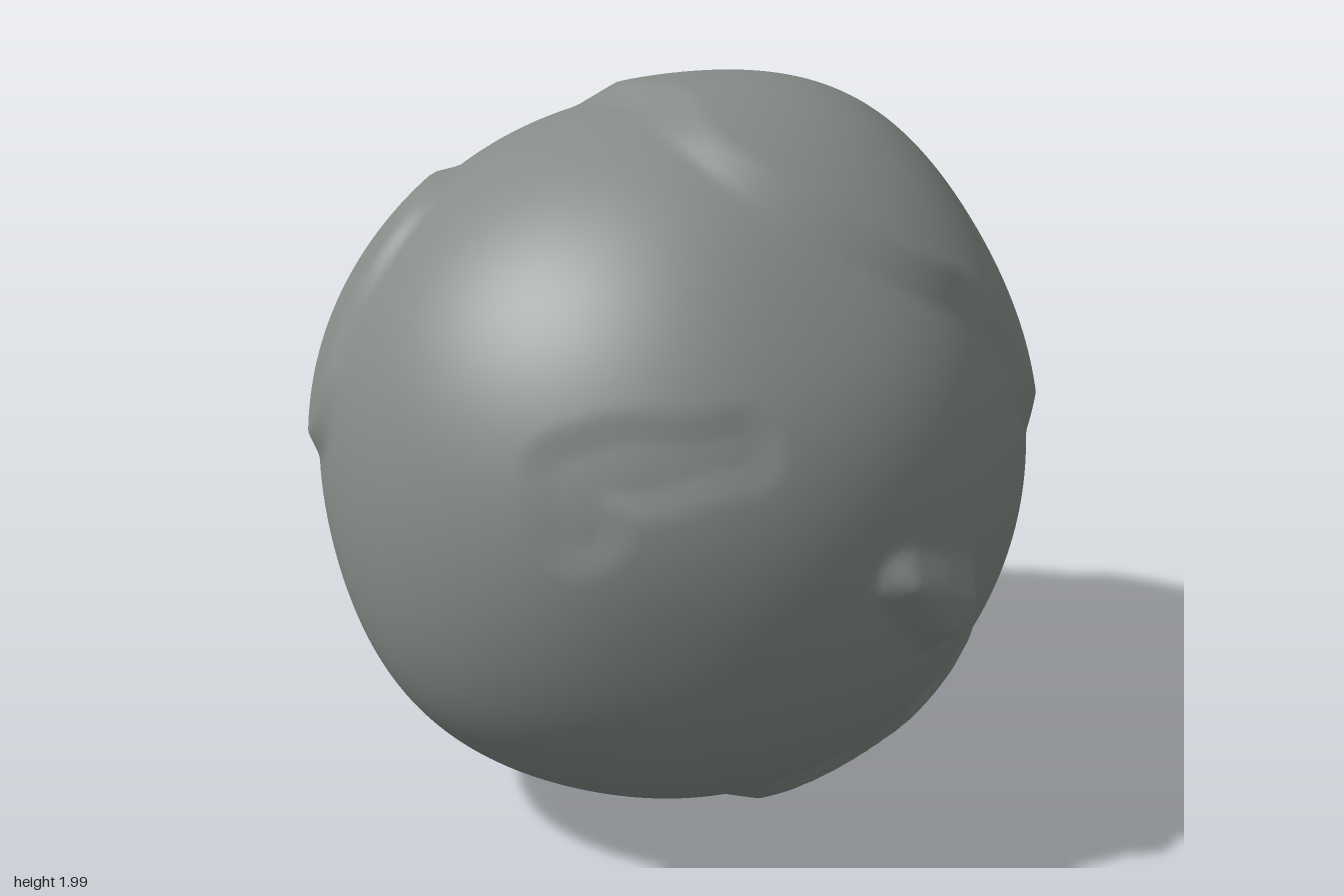
import * as THREE from 'three';
import { mergeVertices } from 'three/addons/utils/BufferGeometryUtils.js';

const { clamp, lerp } = THREE.MathUtils;
const direction = (x, y, z) => new THREE.Vector3(x, y, z).normalize();

// Slab or hollow along a path of [x, y, z, radius] on the sphere, with a straight bevel
function slab(height, bevel, path) {
  const points = path.map(([x, y, z, radius]) => ({ at: direction(x, y, z), radius }));
  const edge = new THREE.Vector3(), near = new THREE.Vector3();
  return (d) => {
    const chip = 0.02 * Math.sin(11 * d.x + 5 * d.y) * Math.sin(13 * d.z + 4 * d.y);
    let gap = Infinity;
    for (let i = 1; i < points.length; i++) {
      const a = points[i - 1], b = points[i];
      edge.subVectors(b.at, a.at);
      const t = clamp(near.subVectors(d, a.at).dot(edge) / edge.lengthSq(), 0, 1);
      near.lerpVectors(a.at, b.at, t);
      gap = Math.min(gap, d.angleTo(near) - lerp(a.radius, b.radius, t));
    }
    return height * clamp(1 - (gap + chip) / bevel, 0, 1);
  };
}

// Soft swelling or dent
function swell(height, width, x, y, z) {
  const centre = direction(x, y, z);
  return (d) => height * Math.exp(-((d.angleTo(centre) / width) ** 2));
}

const features = [
  // large slab over the top, with a lobe down the left side
  slab(0.035, 0.12, [[0.43, 0.85, -0.2, 0.47], [0.43, 0.85, 0.2, 0.5], [0.78, 0.36, 0.42, 0.23]]),
  // three-cornered slab on the back right
  slab(0.03, 0.07, [[-0.55, 0.27, -0.82, 0.22], [-0.83, 0.28, -0.43, 0.22], [-0.63, 0.57, -0.44, 0.22], [-0.55, 0.27, -0.82, 0.22]]),
  // oval slab on the back left
  slab(0.025, 0.08, [[0.93, -0.16, -0.35, 0.26], [0.77, -0.22, -0.6, 0.25]]),
  // ledge low on the front left
  slab(0.035, 0.09, [[0.08, -0.88, 0.42, 0.1], [0.4, -0.75, 0.45, 0.17], [0.64, -0.6, 0.46, 0.1]]),
  // shallow hollow on the upper front
  slab(-0.012, 0.08, [[-0.7, 0.15, 0.69, 0.05], [-0.7, 0.28, 0.65, 0.05], [-0.35, 0.35, 0.87, 0.04]]),
  // small knob on the front
  slab(0.06, 0.1, [[0.1, -0.07, 0.99, 0], [0.28, -0.2, 0.94, 0.04]]),
  // broad swellings and dents
  swell(0.068, 0.4, 0.52, 0.86, 0),
  swell(0.085, 0.38, 0, -0.86, -0.54),
  swell(0.03, 0.5, 0, -1, 0),
  swell(0.05, 0.45, -0.8, -0.57, 0.05),
  swell(0.02, 0.5, -0.8, 0.5, 0),
  swell(0.04, 0.45, -0.6, 0, -0.8),
  swell(0.018, 0.6, 0.1, 0, -1),
  swell(-0.018, 0.7, 0, 0, 1),
  swell(-0.02, 0.3, -0.5, -0.2, 0.8),
  swell(-0.02, 0.3, 0, 0.65, 0.75),
];

export function createModel() {
  const stone = new THREE.MeshStandardMaterial({ color: 0x858c87 });
  stone.name = 'grey stone';

  // boulder: a fine sphere pushed in and out by the features
  const sphere = new THREE.IcosahedronGeometry(1, 50);
  sphere.deleteAttribute('uv');
  sphere.deleteAttribute('normal');
  const geometry = mergeVertices(sphere, 1e-4);
  const position = geometry.attributes.position;
  const d = new THREE.Vector3();
  for (let i = 0; i < position.count; i++) {
    d.fromBufferAttribute(position, i).normalize();
    const radius = features.reduce((sum, feature) => sum + feature(d), 0.95);
    position.setXYZ(i, d.x * radius, d.y * radius, d.z * radius);
  }
  geometry.computeVertexNormals();

  const boulder = new THREE.Mesh(geometry, stone);
  boulder.name = 'boulder';
  boulder.position.y = 1;
  const group = new THREE.Group();
  group.name = 'rock';
  group.add(boulder);
  return group;
}
